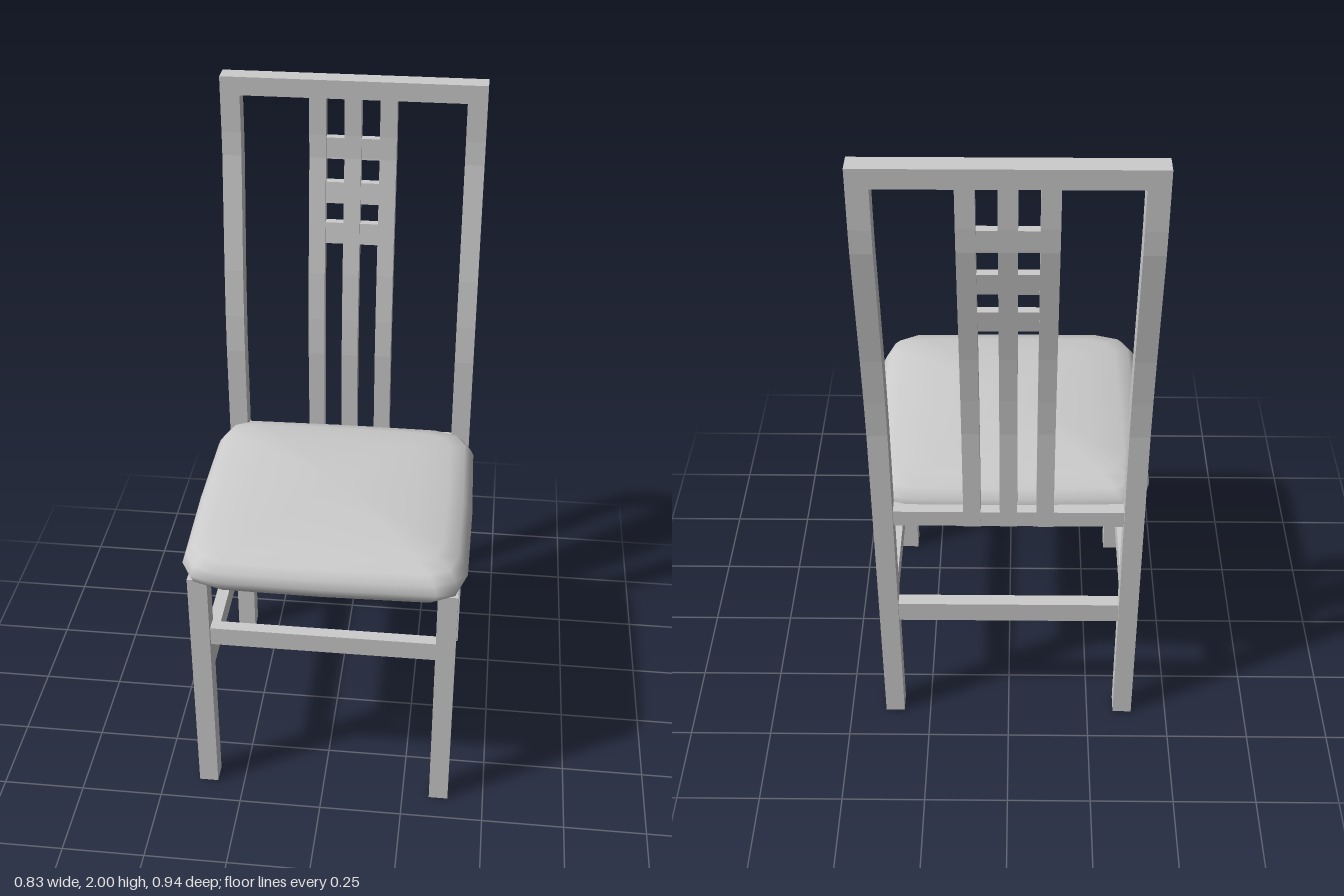
import * as THREE from 'three';

const material = new THREE.MeshStandardMaterial({ color: 0xcccccc, side: THREE.DoubleSide });

// Centre line of the bent chair back: [y, z]
const BEND = [[0, -0.37], [1.13, -0.37], [1.25, -0.377], [1.4, -0.391], [1.6, -0.417], [1.76, -0.437], [1.83, -0.44], [2, -0.44]];

function bendZ(y) {
  for (let i = 1; i < BEND.length; i++) {
    const [ya, za] = BEND[i - 1], [yb, zb] = BEND[i];
    if (y <= yb) return za + (zb - za) * (y - ya) / (yb - ya);
  }
  return BEND[BEND.length - 1][1];
}

function add(group, name, geometry) {
  const mesh = new THREE.Mesh(geometry, material);
  mesh.name = name;
  group.add(mesh);
}

// Straight bar given by its limits on each axis
function bar(group, name, [x0, x1], [y0, y1], [z0, z1]) {
  const g = new THREE.BoxGeometry(x1 - x0, y1 - y0, z1 - z0);
  add(group, name, g.translate((x0 + x1) / 2, (y0 + y1) / 2, (z0 + z1) / 2));
}

// Bar that follows the bend of the back, with constant depth in z
function bentBar(group, name, [x0, x1], [y0, y1], depth) {
  const ys = [y0, ...BEND.map(p => p[0]).filter(y => y > y0 && y < y1), y1];
  const front = ys.map(y => new THREE.Vector2(bendZ(y) + depth / 2, y));
  const back = ys.map(y => new THREE.Vector2(bendZ(y) - depth / 2, y)).reverse();
  const g = new THREE.ExtrudeGeometry(new THREE.Shape([...front, ...back]), { depth: x1 - x0, bevelEnabled: false });
  add(group, name, g.rotateY(-Math.PI / 2).translate(x1, 0, 0));
}

// Padded seat: rounded-square rings stacked from the underside to the crown
function cushionGeometry() {
  const quarter = [[0.416, 0], [0.414, 0.3], [0.39, 0.375], [0.33, 0.408], [0, 0.415]];
  const outline = [];
  for (let q = 0; q < 4; q++) {
    for (const [x, z] of quarter.slice(0, -1)) {
      const a = q * Math.PI / 2, c = Math.cos(a), s = Math.sin(a);
      outline.push([x * c - z * s, x * s + z * c]);
    }
  }
  // [scale, y]; the repeated ring keeps the underside edge crisp
  const rings = [[0, 0.787], [0.94, 0.787], [0.94, 0.787], [0.98, 0.805], [1, 0.83], [0.975, 0.856],
    [0.93, 0.88], [0.82, 0.896], [0.6, 0.909], [0.3, 0.918], [0, 0.92]];
  const n = outline.length, pos = [], idx = [];
  for (const [s, y] of rings) for (const [x, z] of outline) pos.push(x * s, y, z * s + 0.055);
  for (let r = 0; r < rings.length - 1; r++) {
    if (r === 1) continue;
    for (let i = 0; i < n; i++) {
      const a = r * n + i, b = r * n + (i + 1) % n;
      if (rings[r + 1][0] > 0) idx.push(a, a + n, b + n);
      if (rings[r][0] > 0) idx.push(a, b + n, b);
    }
  }
  const g = new THREE.BufferGeometry();
  g.setAttribute('position', new THREE.Float32BufferAttribute(pos, 3));
  g.setIndex(idx);
  g.computeVertexNormals();
  // Crown and underside centres point straight up and down
  const normals = g.attributes.normal;
  for (let i = 0; i < n; i++) {
    normals.setXYZ(i, 0, -1, 0);
    normals.setXYZ((rings.length - 1) * n + i, 0, 1, 0);
  }
  return g;
}

export function createModel() {
  const chair = new THREE.Group();
  chair.name = 'chair';

  // Legs, back posts and side rails, mirrored
  for (const s of [-1, 1]) {
    const side = s > 0 ? 'left' : 'right';
    const span = (a, b) => (s > 0 ? [a, b] : [-b, -a]);
    bentBar(chair, side + 'BackPost', span(0.333, 0.391), [0, 2], 0.06);
    bar(chair, side + 'FrontLeg', span(0.333, 0.391), [0, 0.795], [0.36, 0.42]);
    bar(chair, side + 'SeatRail', span(0.343, 0.381), [0.72, 0.79], [-0.34, 0.36]);
    bar(chair, side + 'Stretcher', span(0.343, 0.381), [0.4, 0.468], [-0.34, 0.36]);
  }

  // Cross members between the legs and posts
  const inner = [-0.333, 0.333];
  bar(chair, 'frontStretcher', inner, [0.55, 0.61], [0.372, 0.408]);
  bar(chair, 'backStretcher', inner, [0.4, 0.468], [-0.39, -0.35]);
  bar(chair, 'backSeatRail', inner, [0.787, 0.84], [-0.388, -0.345]);
  bar(chair, 'topRail', inner, [1.945, 2], [-0.47, -0.41]);

  // Back slats with a small lattice between them
  for (const x of [-0.105, 0, 0.105]) bentBar(chair, 'backSlat', [x - 0.025, x + 0.025], [0.787, 1.945], 0.04);
  for (const x of [-0.0525, 0.0525]) {
    for (const y of [1.495, 1.62, 1.755]) bentBar(chair, 'latticeBar', [x - 0.0275, x + 0.0275], [y, y + 0.065], 0.025);
  }

  add(chair, 'seatCushion', cushionGeometry());
  return chair;
}
